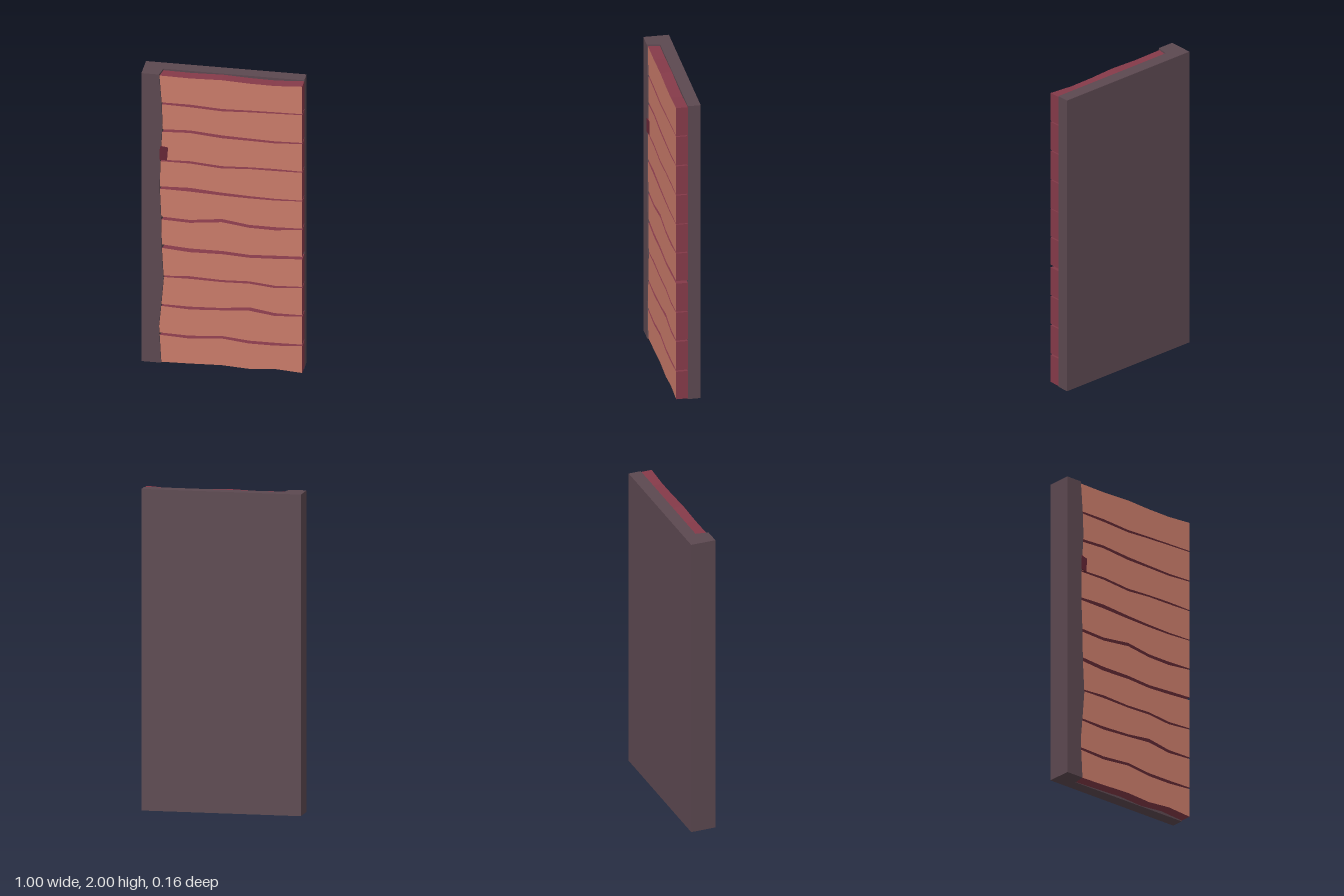
import * as THREE from 'three';

const mat = (name, color) => {
  const m = new THREE.MeshStandardMaterial({ color });
  m.name = name;
  return m;
};

// Seam columns across the panel, and for each seam the centre offset and thickness (1/1000)
const COLS = [-0.4, -0.2, 0, 0.17, 0.33, 0.5];
const SEAMS = [
  [[0, 4], [5, 4], [12, 4], [2, 4], [16, 4], [4, 4]],
  [[-2, 16], [-10, 20], [8, 18], [-10, 20], [-10, 20], [-2, 10]],
  [[-2, 12], [-8, 20], [3, 16], [20, 24], [-4, 20], [2, 10]],
  [[-4, 8], [4, 18], [-2, 14], [4, 16], [-12, 16], [0, 8]],
  [[8, 24], [-7, 26], [-4, 22], [-14, 20], [-6, 22], [4, 18]],
  [[2, 20], [-6, 20], [18, 22], [-6, 20], [-8, 22], [4, 8]],
  [[12, 16], [14, 26], [2, 20], [-4, 16], [-6, 12], [0, 6]],
  [[0, 10], [4, 16], [-12, 16], [-2, 12], [0, 14], [0, 7]],
  [[8, 18], [17, 18], [0, 20], [-4, 16], [-8, 14], [0, 8]],
  [[-2, 12], [-4, 18], [-15, 16], [-8, 12], [-4, 10], [0, 7]],
  [[-6, 8], [-8, 10], [-4, 6], [-10, 10], [-12, 10], [-3, 6]],
];
const seamEdge = (i, side) => COLS.map((x, k) => {
  const [offset, thick] = SEAMS[i][k];
  const y = i * 0.2 + (offset + side * thick / 2) / 1000;
  return new THREE.Vector2(x, THREE.MathUtils.clamp(y, 0, 2));
});

const extrude = (points, depth) => new THREE.ExtrudeGeometry(
  new THREE.Shape(points), { depth, bevelEnabled: false });

export function createModel() {
  const stone = mat('darkFrame', 0x5c4850);
  const face = mat('boardFace', 0xc97b69);
  const edge = mat('boardEdge', 0x853a49);
  const dark = mat('latchDark', 0x662636);

  const group = new THREE.Group();
  const add = (name, geometry, material) => {
    const mesh = new THREE.Mesh(geometry, material);
    mesh.name = name;
    group.add(mesh);
    return mesh;
  };

  // Backing slab
  add('backSlab', new THREE.BoxGeometry(1, 2, 0.08), stone).position.set(0, 1, -0.04);

  // Side post with an uneven inner edge that widens toward the slab
  const inner = [[0, -0.378], [0.25, -0.392], [0.4, -0.378], [0.58, -0.363], [0.8, -0.375],
    [1, -0.378], [1.2, -0.387], [1.4, -0.384], [1.65, -0.370], [1.8, -0.376], [2, -0.391]];
  const post = extrude([new THREE.Vector2(-0.5, 2), new THREE.Vector2(-0.5, 0),
    ...inner.map(([y, x]) => new THREE.Vector2(x, y))], 0.08);
  const p = post.attributes.position;
  for (let i = 0; i < p.count; i++) {
    if (p.getX(i) > -0.45 && p.getZ(i) < 0.01) p.setX(i, p.getX(i) + 0.014);
  }
  post.computeVertexNormals();
  add('sidePost', post, stone);

  // Ten wavy boards
  for (let i = 0; i < 10; i++) {
    const outline = [...seamEdge(i, 1), ...seamEdge(i + 1, -1).reverse()];
    add('board' + (i + 1), extrude(outline, 0.073), [face, edge]);
  }

  // Small latch beside the post, its face sloping down into the boards
  const latch = extrude([[-0.388, 1.41], [-0.342, 1.405], [-0.335, 1.495], [-0.385, 1.502]]
    .map(([x, y]) => new THREE.Vector2(x, y)), 0.082);
  const q = latch.attributes.position;
  for (let i = 0; i < q.count; i++) {
    if (q.getZ(i) > 0.01 && q.getX(i) > -0.36) q.setZ(i, 0.0745);
  }
  latch.computeVertexNormals();
  add('latch', latch, dark);

  return group;
}
